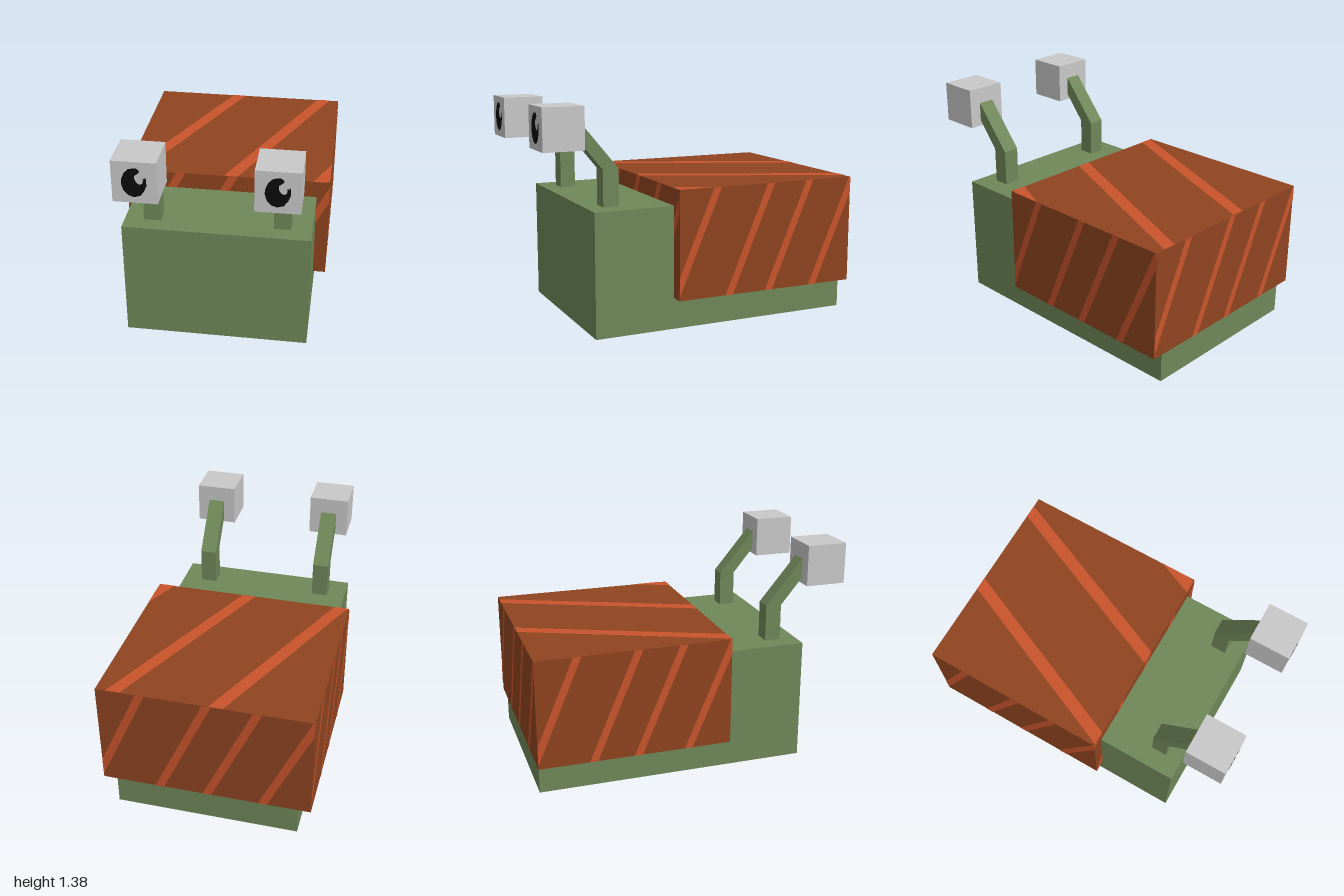
import * as THREE from 'three';

const mat = (name, color) => {
  const m = new THREE.MeshStandardMaterial({ color });
  m.name = name;
  return m;
};

export function createModel() {
  const green = mat('skin green', 0x6f8759);
  const brown = mat('shell brown', 0x8f4420);
  const orange = mat('stripe orange', 0xc9552c);
  const grey = mat('eye grey', 0xc8c8c8);
  const black = mat('pupil black', 0x0c0c0c);
  const model = new THREE.Group();
  model.name = 'snail';

  const add = (name, geometry, material, parent = model) => {
    const mesh = new THREE.Mesh(geometry, material);
    mesh.name = name;
    parent.add(mesh);
    return mesh;
  };
  // Box given by its limits on each axis
  const box = (name, [x0, x1], [y0, y1], [z0, z1], material, parent) => {
    const mesh = add(name, new THREE.BoxGeometry(x1 - x0, y1 - y0, z1 - z0), material, parent);
    mesh.position.set((x0 + x1) / 2, (y0 + y1) / 2, (z0 + z1) / 2);
    return mesh;
  };

  // Body and shell
  box('body', [-0.57, 0.57], [0, 0.765], [-0.985, 0.713], green);
  const W = 1.3, H = 0.678, D = 1.207;
  const shell = new THREE.Group();
  shell.name = 'shell';
  shell.position.set(0, 0.534, -0.3965);
  model.add(shell);
  add('shellBlock', new THREE.BoxGeometry(W, H, D), brown, shell);

  // Cut a polygon at u = limit, keeping the side given by sign
  const clip = (pts, limit, sign) => {
    const out = [];
    pts.forEach((a, i) => {
      const b = pts[(i + 1) % pts.length];
      const da = sign * (a[0] - limit), db = sign * (b[0] - limit);
      if (da >= 0) out.push(a);
      if (da * db < 0) {
        const t = da / (da - db);
        out.push([limit, a[1] + t * (b[1] - a[1])]);
      }
    });
    return out;
  };

  // Slanted stripes on one shell face: starts are left edges at the bottom,
  // lean is the shift to the top; all as fractions of the face width
  const stripes = (name, w, h, starts, width, lean, rotation, offset) => {
    const face = new THREE.Group();
    face.name = name;
    face.rotation.set(...rotation);
    shell.add(face);
    for (const s of starts) {
      let pts = [[s, 0], [s + width, 0], [s + width + lean, 1], [s + lean, 1]];
      pts = clip(clip(pts, 0, 1), 1, -1);
      if (pts.length < 3) continue;
      const outline = pts.map(([u, v]) => new THREE.Vector2((u - 0.5) * w, (v - 0.5) * h));
      add('stripe', new THREE.ShapeGeometry(new THREE.Shape(outline)), orange, face)
        .position.z = offset + 0.002;
    }
  };
  const q = Math.PI / 2;
  const sideStarts = [-0.05, 0.257, 0.487, 0.752];
  stripes('leftStripes', D, H, sideStarts, 0.042, 0.239, [0, q, 0], W / 2);
  stripes('rightStripes', D, H, sideStarts, 0.042, 0.239, [0, -q, 0], W / 2);
  stripes('backStripes', W, H, sideStarts, 0.042, 0.239, [0, 2 * q, 0], D / 2);
  stripes('frontStripes', W, H, [-0.28, -0.02, 0.24, 0.49, 0.745], 0.045, 0.267, [0, 0, 0], D / 2);
  stripes('topStripes', W, D, [0.008, 0.484, 0.92], 0.067, 0.4, [-q, 0, 0], H / 2);

  // Bent stalk profile in z and y, extruded across x
  const stalkShape = new THREE.Shape([
    [0.51, 0.75], [0.61, 0.75], [0.61, 0.99], [0.76, 1.173], [0.76, 1.293], [0.51, 0.993],
  ].map(([z, y]) => new THREE.Vector2(-z, y)).reverse());
  const stalkGeometry = new THREE.ExtrudeGeometry(stalkShape, { depth: 0.104, bevelEnabled: false });
  stalkGeometry.translate(0, 0, -0.052).rotateY(q);

  // Pupil outline with the highlight bitten out
  const pupilShape = new THREE.Shape([
    [0, 25], [-8, 23], [-15, 16], [-19, 6], [-20, -3], [-17, -14], [-10, -22], [-1, -25],
    [9, -22], [15, -14], [19, -4], [19, 8], [17, 10], [16, 6], [14, 9], [14, 4], [13, 0],
    [9, -3], [4, 0], [1, 6], [1, 12], [5, 15], [9, 19], [8, 22], [4, 25],
  ].map(([x, y]) => new THREE.Vector2(x / 275, y / 275)));
  const pupilGeometry = new THREE.ShapeGeometry(pupilShape);

  // Eyes on stalks
  for (const [name, x] of [['rightEye', -0.4], ['leftEye', 0.39]]) {
    const eye = new THREE.Group();
    eye.name = name;
    eye.position.x = x;
    model.add(eye);
    add('stalk', stalkGeometry, green, eye);
    box('eyeball', [-0.128, 0.128], [1.12, 1.376], [0.745, 0.998], grey, eye);
    add('pupil', pupilGeometry, black, eye).position.set(0, 1.248, 1);
  }
  return model;
}
